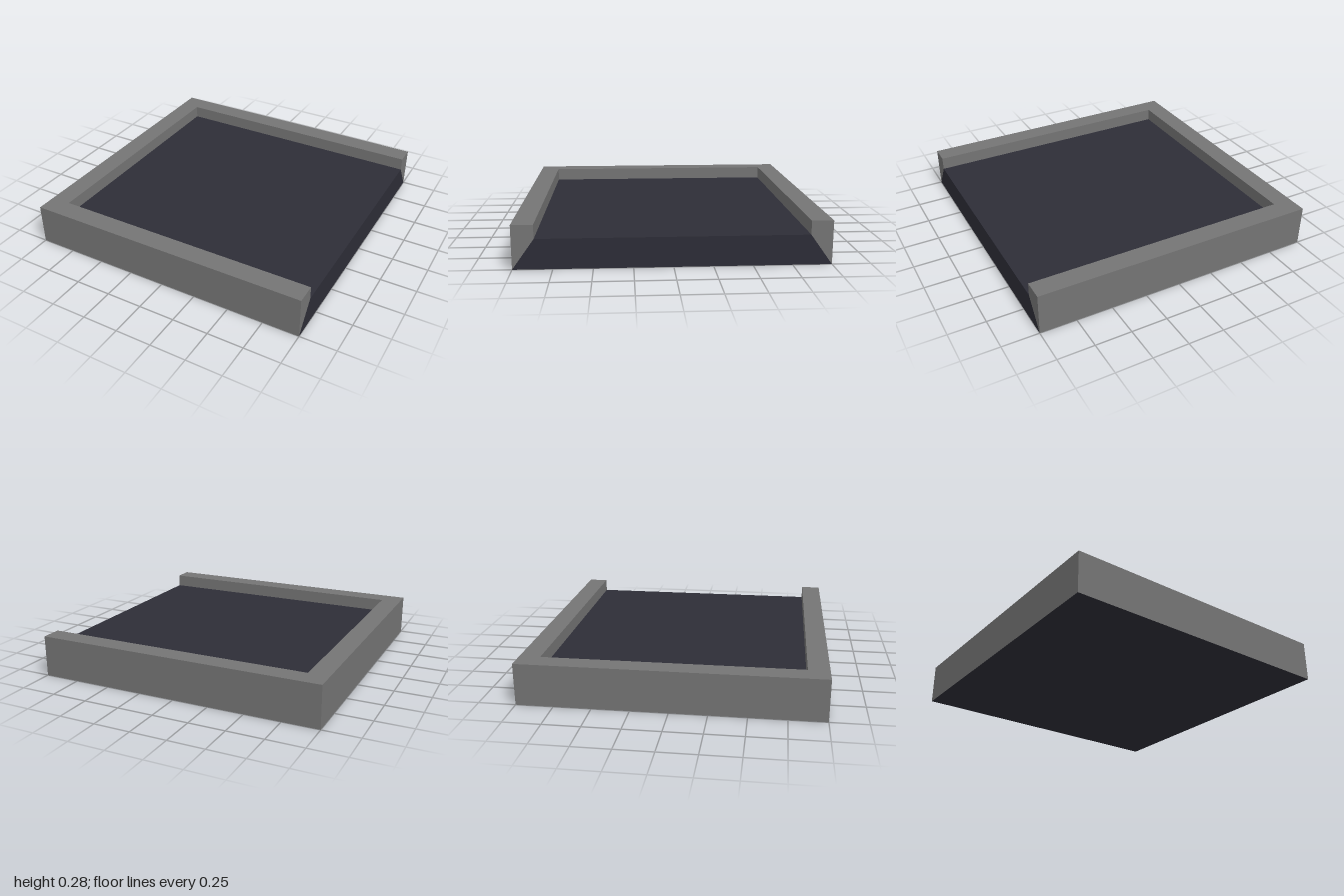
import * as THREE from 'three';

const RIM_HEIGHT = 0.285, FLOOR_HEIGHT = 0.195, INSET = 0.14;

// Mitred U-shaped rim: one cross-section swept around three sides, open at +x
function rimGeometry() {
  const profile = [[0, 0], [0, RIM_HEIGHT], [INSET, RIM_HEIGHT], [INSET, FLOOR_HEIGHT]];
  const stations = [[1, 1, true], [-1, 1, false], [-1, -1, false], [1, -1, true]];
  const positions = [];
  for (const [x, z, open] of stations) {
    for (const [d, y] of profile) positions.push(open ? x : x * (1 - d), y, z * (1 - d));
  }
  const index = [];
  for (let s = 0; s < 3; s++) {
    for (let p = 0; p < 4; p++) {
      const q = (p + 1) % 4;
      const a = s * 4 + p, b = s * 4 + q;
      index.push(a, b, b + 4, a, b + 4, a + 4);
    }
  }
  // End caps on the open side
  index.push(0, 2, 1, 0, 3, 2, 12, 13, 14, 12, 14, 15);
  const indexed = new THREE.BufferGeometry();
  indexed.setAttribute('position', new THREE.Float32BufferAttribute(positions, 3));
  indexed.setIndex(index);
  const geometry = indexed.toNonIndexed();
  geometry.computeVertexNormals();
  return geometry;
}

// Slab whose sides slope inwards under the rim and stay upright at +x
function floorGeometry() {
  const geometry = new THREE.BoxGeometry(2, FLOOR_HEIGHT, 2);
  geometry.translate(0, FLOOR_HEIGHT / 2, 0);
  const pos = geometry.attributes.position;
  for (let i = 0; i < pos.count; i++) {
    if (pos.getY(i) < FLOOR_HEIGHT / 2) continue;
    pos.setZ(i, pos.getZ(i) * (1 - INSET));
    if (pos.getX(i) < 0) pos.setX(i, INSET - 1);
  }
  geometry.computeVertexNormals();
  return geometry;
}

export function createModel() {
  const grey = new THREE.MeshStandardMaterial({ color: 0x747474 });
  grey.name = 'rim grey';
  const dark = new THREE.MeshStandardMaterial({ color: 0x2d2d37 });
  dark.name = 'floor dark slate';

  const model = new THREE.Group();
  model.name = 'openTray';

  const rim = new THREE.Mesh(rimGeometry(), grey);
  rim.name = 'rim';
  const floor = new THREE.Mesh(floorGeometry(), dark);
  floor.name = 'floor';
  model.add(rim, floor);
  return model;
}
